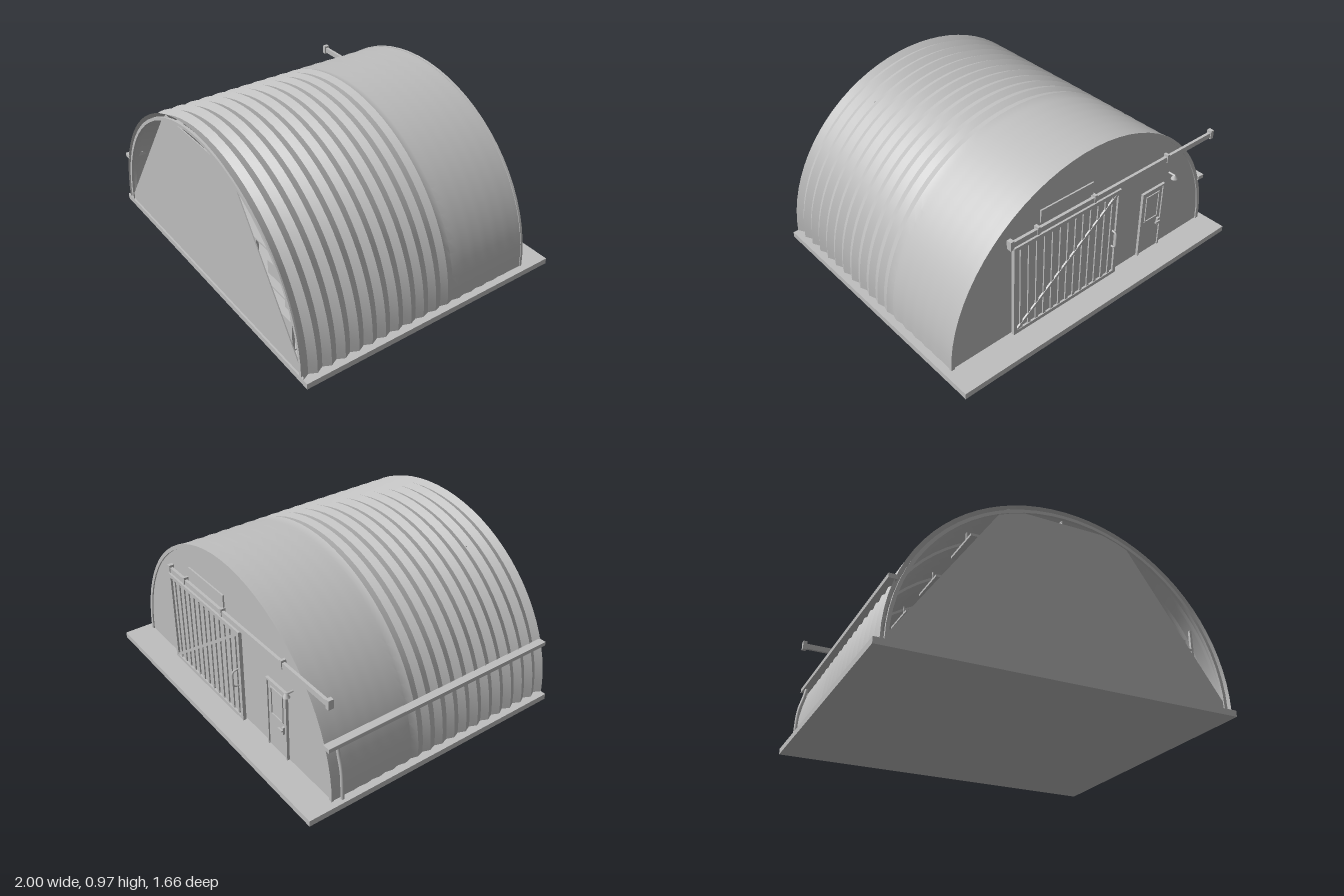
import * as THREE from 'three';
import { toCreasedNormals } from 'three/addons/utils/BufferGeometryUtils.js';

const FLOOR = 0.035, RX = 0.957, RY = 0.928, FRONT = 0.83, BACK = -0.66;

export function createModel() {
  const model = new THREE.Group();
  model.name = 'arched shed';
  const grey = new THREE.MeshStandardMaterial({ color: 0xbfbfbf, side: THREE.DoubleSide });
  grey.name = 'plain grey';

  const add = (name, geometry, x = 0, y = 0, z = 0, parent = model) => {
    const mesh = new THREE.Mesh(geometry, grey);
    mesh.name = name;
    mesh.position.set(x, y, z);
    parent.add(mesh);
    return mesh;
  };
  // box given by its limits on each axis
  const box = (name, x0, x1, y0, y1, z0, z1, parent) =>
    add(name, new THREE.BoxGeometry(x1 - x0, y1 - y0, z1 - z0),
      (x0 + x1) / 2, (y0 + y1) / 2, (z0 + z1) / 2, parent);
  const group = (name) => {
    const g = new THREE.Group();
    g.name = name;
    model.add(g);
    return g;
  };
  const archPoints = (rx, ry, n = 36) => Array.from({ length: n + 1 }, (_, i) => {
    const a = Math.PI * i / n;
    return new THREE.Vector2(rx * Math.cos(a), FLOOR + ry * Math.sin(a));
  });
  const extrude = (points, depth) => toCreasedNormals(
    new THREE.ExtrudeGeometry(new THREE.Shape(points), { depth, bevelEnabled: false }), 0.5);
  const archBand = (inset, width, depth) => extrude([
    ...archPoints(RX - inset, RY - inset),
    ...archPoints(RX - inset - width, RY - inset - width).reverse()], depth);

  // floor slab
  box('floor slab', -1, 1, 0, FLOOR, -0.83, 0.83);

  // corrugated roof whose ribs fade out towards the back
  const ribs = 35, sides = 40;
  const roof = new THREE.PlaneGeometry(1, 1, sides, ribs);
  const p = roof.attributes.position;
  for (let i = 0; i < p.count; i++) {
    const a = Math.PI * (0.5 - p.getX(i));
    const row = Math.round((0.5 - p.getY(i)) * ribs);
    const fade = Math.sin(Math.PI / 2 * row / ribs);
    const bump = 0.011 * fade * (row % 2 ? 1 : -1);
    p.setXYZ(i, (RX + bump) * Math.cos(a), FLOOR + (RY + bump) * Math.sin(a),
      BACK + (FRONT - BACK) * row / ribs);
  }
  add('corrugated roof', toCreasedNormals(roof, Math.PI / 6));

  // edge arches and inner frames
  add('front arch', archBand(0.012, 0.018, 0.015), 0, 0, FRONT - 0.017);
  add('back arch', archBand(-0.004, 0.022, 0.015), 0, 0, BACK - 0.008);
  for (const z of [-0.3, 0.1, 0.5]) add('inner frame', archBand(0.014, 0.014, 0.02), 0, 0, z);
  box('ridge beam', -0.004, 0.004, 0.9, 0.94, BACK + 0.01, 0.8);

  // end walls
  const half = [[0.945, FLOOR], [0.93, 0.07], [0.37, 0.87], [0.33, 0.905]];
  const outline = [...half, ...half.map(([x, y]) => [-x, y]).reverse()];
  add('front wall', extrude(outline.map(([x, y]) => new THREE.Vector2(x, y)), 0.006), 0, 0, 0.814);
  add('back wall', extrude(archPoints(RX - 0.006, RY - 0.006), 0.008), 0, 0, BACK);

  // sliding door on its rail
  const door = group('sliding door');
  const dx0 = -0.19, dx1 = 0.57, dy0 = 0.05, dy1 = 0.63, dz = -0.685;
  box('door panel', dx0, dx1, dy0, dy1, dz, dz + 0.008, door);
  for (const x of [dx0, dx1 - 0.022]) box('door stile', x, x + 0.022, dy0, dy1, dz - 0.012, dz, door);
  for (const y of [dy0, dy1 - 0.022]) box('door crossbar', dx0, dx1, y, y + 0.022, dz - 0.012, dz, door);
  for (let i = 1; i < 14; i++) {
    const x = dx0 + (dx1 - dx0) * i / 14;
    box('door batten', x - 0.009, x + 0.009, dy0, dy1, dz - 0.008, dz, door);
  }
  const w = dx1 - dx0 - 0.04, h = dy1 - dy0 - 0.04;
  const brace = add('door brace', new THREE.BoxGeometry(Math.hypot(w, h), 0.016, 0.01),
    (dx0 + dx1) / 2, (dy0 + dy1) / 2, dz - 0.006, door);
  brace.rotation.z = -Math.atan2(h, w);
  const pull = new THREE.CatmullRomCurve3([[0.26, dz], [0.27, -0.718], [0.315, -0.722], [0.36, -0.718], [0.37, dz]]
    .map(([y, z]) => new THREE.Vector3(-0.145, y, z)));
  add('door pull', new THREE.TubeGeometry(pull, 16, 0.006, 8), 0, 0, 0, door);
  box('door rail', -0.95, 0.58, 0.63, 0.662, -0.685, -0.668);
  for (const x of [-0.95, 0.575]) box('rail stop', x - 0.012, x + 0.012, 0.622, 0.675, -0.69, -0.66);
  for (const x of [-0.57, 0, 0.4]) box('rail bracket', x - 0.008, x + 0.008, 0.625, 0.675, -0.69, -0.655);

  // small door
  const small = group('small door');
  box('small door leaf', -0.575, -0.415, FLOOR, 0.46, -0.668, -0.655, small);
  for (const x of [-0.585, -0.415]) box('door post', x, x + 0.012, FLOOR, 0.472, -0.676, -0.655, small);
  box('door head', -0.585, -0.403, 0.46, 0.472, -0.676, -0.655, small);
  box('window sill', -0.55, -0.44, 0.255, 0.263, -0.674, -0.66, small);
  box('window top', -0.55, -0.44, 0.425, 0.433, -0.674, -0.66, small);
  for (const x of [-0.55, -0.447]) box('window side', x, x + 0.007, 0.255, 0.433, -0.674, -0.66, small);
  box('door lever', -0.56, -0.525, 0.215, 0.224, -0.69, -0.68, small);
  box('lever plate', -0.562, -0.548, 0.195, 0.24, -0.682, -0.66, small);

  // blank sign board and wall lamp
  box('sign board', 0, 0.37, 0.675, 0.75, -0.669, -0.658);
  const arm = add('lamp arm', new THREE.CylinderGeometry(0.006, 0.006, 0.05, 8), -0.63, 0.515, -0.68);
  arm.rotation.x = Math.PI / 2;
  add('lamp shade', new THREE.CylinderGeometry(0.008, 0.02, 0.022, 16), -0.63, 0.505, -0.7);

  // gutter and downpipe
  box('gutter', -0.945, -0.9, 0.342, 0.366, -0.675, 0.832);
  const pipe = new THREE.CatmullRomCurve3([[-0.925, 0.35], [-0.938, 0.29], [-0.962, 0.2], [-0.972, FLOOR]]
    .map(([x, y]) => new THREE.Vector3(x, y, -0.61)));
  add('downpipe', new THREE.TubeGeometry(pipe, 12, 0.01, 8));

  // storage rack with crates along one side
  const rack = group('storage rack');
  const levels = [[0.06, 0.8], [0.24, 0.8], [0.36, 0.8], [0.57, 0.6]];
  for (const [y, x1] of levels) box('rack shelf', 0.48, x1, y, y + 0.01, -0.2, 0.78, rack);
  for (const z of [-0.2, 0.29, 0.765]) {
    box('inner rack post', 0.48, 0.495, FLOOR, 0.58, z, z + 0.015, rack);
    box('outer rack post', 0.787, 0.8, FLOOR, 0.48, z, z + 0.015, rack);
  }
  for (let i = 0; i < 5; i++) {
    const z = 0.62 - i * 0.18;
    box('upper crate', 0.5, 0.56, 0.58, 0.635, z, z + 0.12, rack);
    box('middle crate', 0.69, 0.785, 0.37, 0.44, z, z + 0.12, rack);
    box('inner crate', 0.53, 0.65, 0.37, 0.45, z, z + 0.12, rack);
    box('lower crate', 0.68, 0.785, 0.25, 0.3, z, z + 0.12, rack);
    box('floor crate', 0.62, 0.785, 0.07, 0.19, z, z + 0.12, rack);
  }

  // hanging strip lights
  for (const s of [-1, 1])
    for (const z of [-0.4, 0.05, 0.5]) {
      const x = s * 0.47;
      box('strip light', x - 0.032, x + 0.032, 0.738, 0.752, z, z + 0.25);
      box('light hanger', x - 0.004, x + 0.004, 0.75, 0.835, z + 0.12, z + 0.13);
    }
  return model;
}
